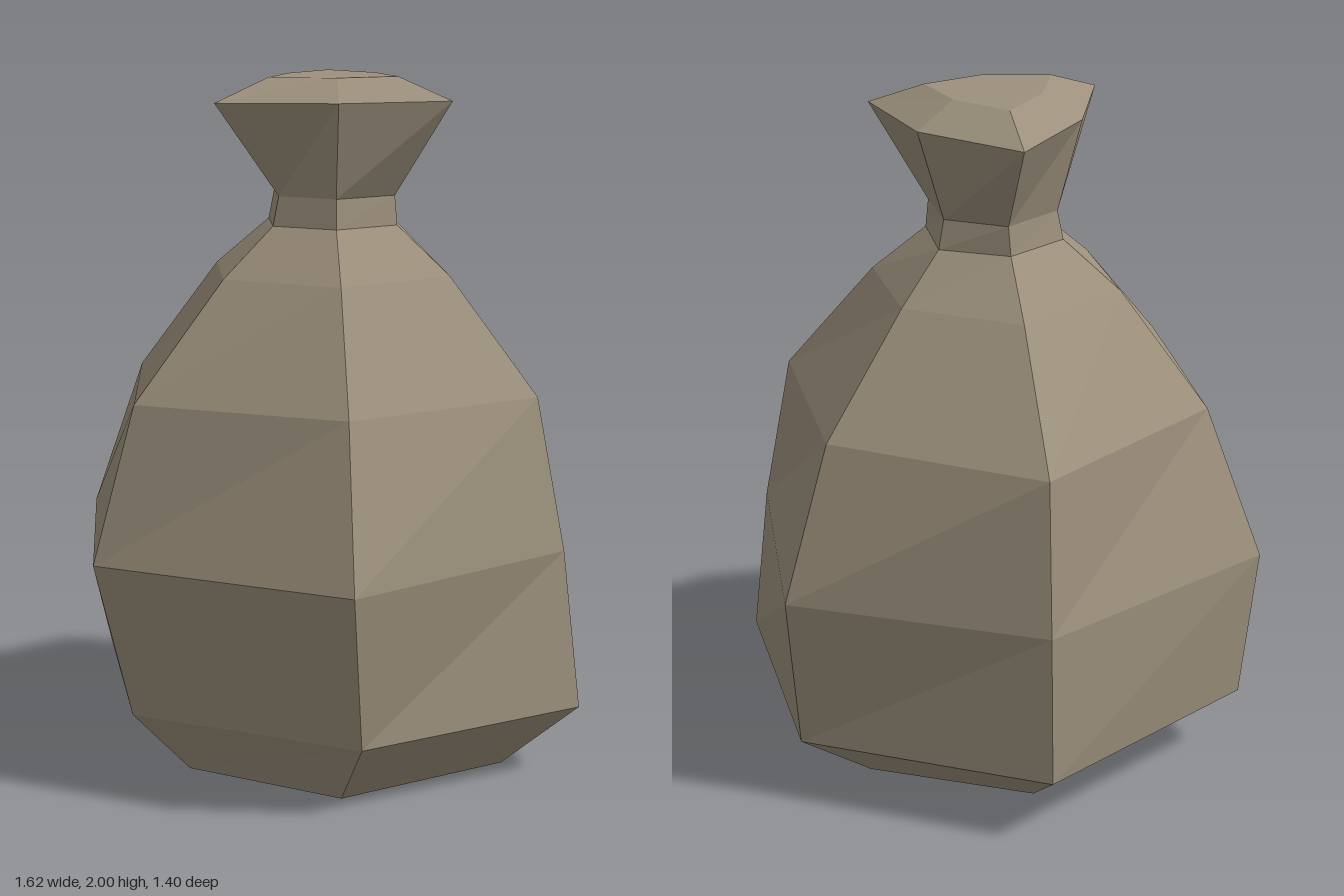
import * as THREE from 'three';

// Each ring: height, then six corners [x, z] running from the left side round the front
const RINGS = [
  [0.0, [0.51, 0], [0.28, 0.48], [-0.28, 0.46], [-0.5, 0], [-0.25, -0.43], [0.25, -0.43]],
  [0.2, [0.77, 0], [0.41, 0.675], [-0.33, 0.63], [-0.69, 0], [-0.38, -0.66], [0.4, -0.665]],
  [0.66, [0.81, 0], [0.385, 0.625], [-0.405, 0.7], [-0.81, 0], [-0.405, -0.7], [0.405, -0.66]],
  [1.105, [0.645, 0], [0.335, 0.555], [-0.305, 0.53], [-0.67, 0], [-0.32, -0.55], [0.365, -0.605]],
  [1.435, [0.36, 0], [0.2, 0.315], [-0.185, 0.32], [-0.37, 0], [-0.19, -0.32], [0.2, -0.33]],
  [1.575, [0.22, 0], [0.11, 0.18], [-0.1, 0.175], [-0.2, 0], [-0.1, -0.175], [0.11, -0.18]],
  [1.66, [0.2, 0], [0.11, 0.168], [-0.09, 0.16], [-0.18, 0], [-0.09, -0.16], [0.11, -0.17]],
  [1.935, [0.295, 0], [0.2, 0.32], [-0.12, 0.215], [-0.395, 0], [-0.12, -0.225], [0.21, -0.338]],
  [2.0, [0.16, 0], [0.115, 0.175], [-0.07, 0.135], [-0.215, 0], [-0.06, -0.125], [0.12, -0.185]],
];

// Skins a run of rings with quads, optionally closing the last ring
function loft(rings, capTop) {
  const pos = [];
  const pts = rings.map(([y, ...c]) => c.map(([x, z]) => [x, y, z]));
  for (let i = 0; i < pts.length - 1; i++) {
    for (let j = 0; j < 6; j++) {
      const k = (j + 1) % 6;
      const a = pts[i][j], b = pts[i][k], c = pts[i + 1][k], d = pts[i + 1][j];
      pos.push(...a, ...d, ...b, ...b, ...d, ...c);
    }
  }
  if (capTop) {
    const t = pts[pts.length - 1];
    for (let j = 1; j < 5; j++) pos.push(...t[0], ...t[j + 1], ...t[j]);
  }
  const g = new THREE.BufferGeometry();
  g.setAttribute('position', new THREE.Float32BufferAttribute(pos, 3));
  g.computeVertexNormals();
  return g;
}

export function createModel() {
  const group = new THREE.Group();
  group.name = 'sack';
  const cloth = new THREE.MeshStandardMaterial({ color: 0x9c907c, flatShading: true, side: THREE.DoubleSide });
  cloth.name = 'burlap';

  const add = (name, from, to, cap) => {
    const mesh = new THREE.Mesh(loft(RINGS.slice(from, to + 1), cap), cloth);
    mesh.name = name;
    group.add(mesh);
  };
  add('body', 0, 5, false); // open underneath
  add('tiedNeck', 5, 6, false);
  add('flaredMouth', 6, 8, true);
  return group;
}
